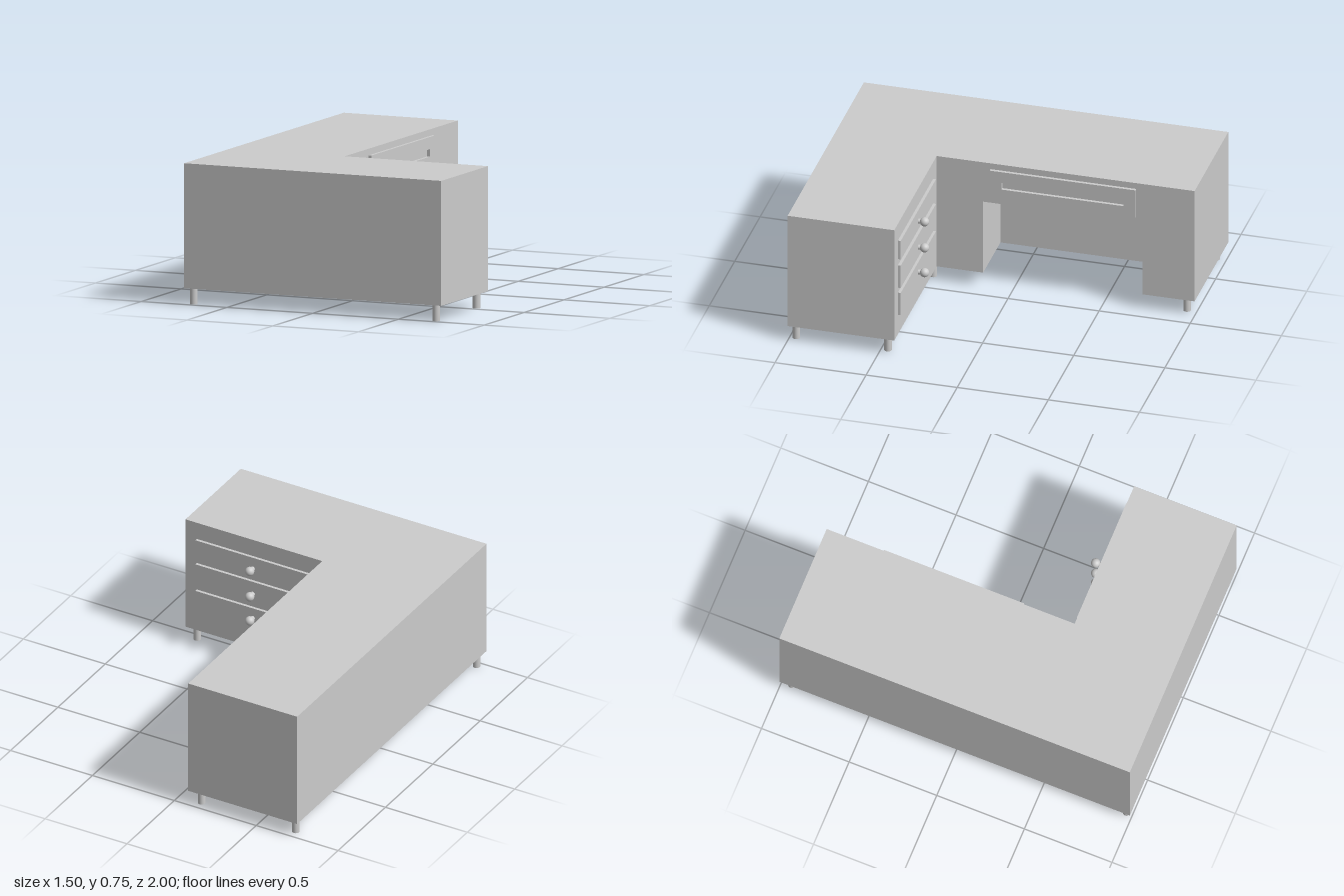
import * as THREE from 'three';
import { mergeGeometries } from 'three/addons/utils/BufferGeometryUtils.js';

const BOTTOM = 0.087, TOP = 0.755, KNEE_TOP = 0.517;
const INNER_X = -0.085, INNER_Z = 0.415;

const material = new THREE.MeshStandardMaterial({ color: 0xcccccc });

function add(parent, name, geometry, x = 0, y = 0, z = 0) {
  const mesh = new THREE.Mesh(geometry, material);
  mesh.name = name;
  mesh.position.set(x, y, z);
  parent.add(mesh);
  return mesh;
}

// Flat polygon from 3D corners, counter-clockwise seen from its front
function face(corners) {
  const points = corners.map((c) => new THREE.Vector3(...c));
  const normal = new THREE.Vector3();
  points.forEach((p, i) => normal.add(p.clone().cross(points[(i + 1) % points.length])));
  normal.normalize();
  const u = points[1].clone().sub(points[0]).normalize();
  const v = normal.clone().cross(u);
  const flat = points.map((p) => new THREE.Vector2(p.dot(u), p.dot(v)));
  const geometry = new THREE.BufferGeometry().setFromPoints(points);
  const index = [];
  for (const [a, b, c] of THREE.ShapeUtils.triangulateShape(flat, [])) {
    const ccw = flat[b].clone().sub(flat[a]).cross(flat[c].clone().sub(flat[a])) > 0;
    index.push(...(ccw ? [a, b, c] : [a, c, b]));
  }
  geometry.setIndex(index);
  geometry.computeVertexNormals();
  return geometry;
}

// L-shaped carcass with a knee recess cut into the long wing
function bodyGeometry() {
  const outline = [[-0.75, 1], [0.75, 1], [0.75, INNER_Z], [INNER_X, INNER_Z], [INNER_X, -1], [-0.75, -1]];
  const knee = [[INNER_X, 0.16], [-0.425, 0.16], [-0.425, -0.715], [INNER_X, -0.715]];
  const at = (y) => ([x, z]) => [x, y, z];
  const low = at(BOTTOM), high = at(TOP), mid = at(KNEE_TOP);
  const faces = [];

  // Top, underside and recess ceiling
  faces.push(face(outline.map(high)));
  faces.push(face([...outline.slice(0, 4), ...knee, ...outline.slice(4)].reverse().map(low)));
  faces.push(face(knee.map(mid)));

  // Outer walls; the one facing the seat has the recess opening
  outline.forEach((a, i) => {
    const b = outline[(i + 1) % outline.length];
    const opening = i === 3 ? [low(knee[0]), mid(knee[0]), mid(knee[3]), low(knee[3])] : [];
    faces.push(face([low(a), ...opening, low(b), high(b), high(a)]));
  });

  // Recess walls
  for (let i = 0; i < 3; i++) {
    faces.push(face([low(knee[i]), low(knee[i + 1]), mid(knee[i + 1]), mid(knee[i])]));
  }
  return mergeGeometries(faces);
}

function rectangle(Type, x0, y0, x1, y1) {
  const path = new Type();
  path.moveTo(x0, y0).lineTo(x1, y0).lineTo(x1, y1).lineTo(x0, y1).closePath();
  return path;
}

export function createModel() {
  const desk = new THREE.Group();
  desk.name = 'cornerDesk';

  add(desk, 'body', bodyGeometry());

  // Legs
  const legs = [[-0.71, 0.965], [0.705, 0.965], [0.705, 0.462], [-0.135, 0.448], [-0.135, -0.945], [-0.71, -0.945]];
  for (const [x, z] of legs) {
    add(desk, 'leg', new THREE.CylinderGeometry(0.02, 0.02, BOTTOM, 24), x, BOTTOM / 2, z);
  }

  // Stacked drawers with round knobs on the short wing
  const drawers = [[0.543, 0.655, 0.588], [0.37, 0.505, 0.43], [0.205, 0.34, 0.28]];
  for (const [y0, y1, knobY] of drawers) {
    const drawer = new THREE.Group();
    drawer.name = 'drawer';
    desk.add(drawer);
    add(drawer, 'drawerFront', new THREE.BoxGeometry(0.695, y1 - y0, 0.016), 0.3325, (y0 + y1) / 2, INNER_Z - 0.008);
    const stem = add(drawer, 'knobStem', new THREE.CylinderGeometry(0.011, 0.014, 0.03, 20), 0.33, knobY, 0.388);
    stem.rotation.x = -Math.PI / 2;
    add(drawer, 'knob', new THREE.SphereGeometry(0.025, 24, 16), 0.33, knobY, 0.366);
  }

  // Wide drawer above the knee recess, with a slotted grip
  const front = rectangle(THREE.Shape, -0.12, 0.553, 0.68, 0.72);
  front.holes.push(rectangle(THREE.Path, -0.055, 0.615, 0.615, 0.655));
  const panel = new THREE.ExtrudeGeometry(front, { depth: 0.017, bevelEnabled: false });
  add(desk, 'kneeDrawerFront', panel, INNER_X, 0, 0).rotation.y = Math.PI / 2;

  return desk;
}
